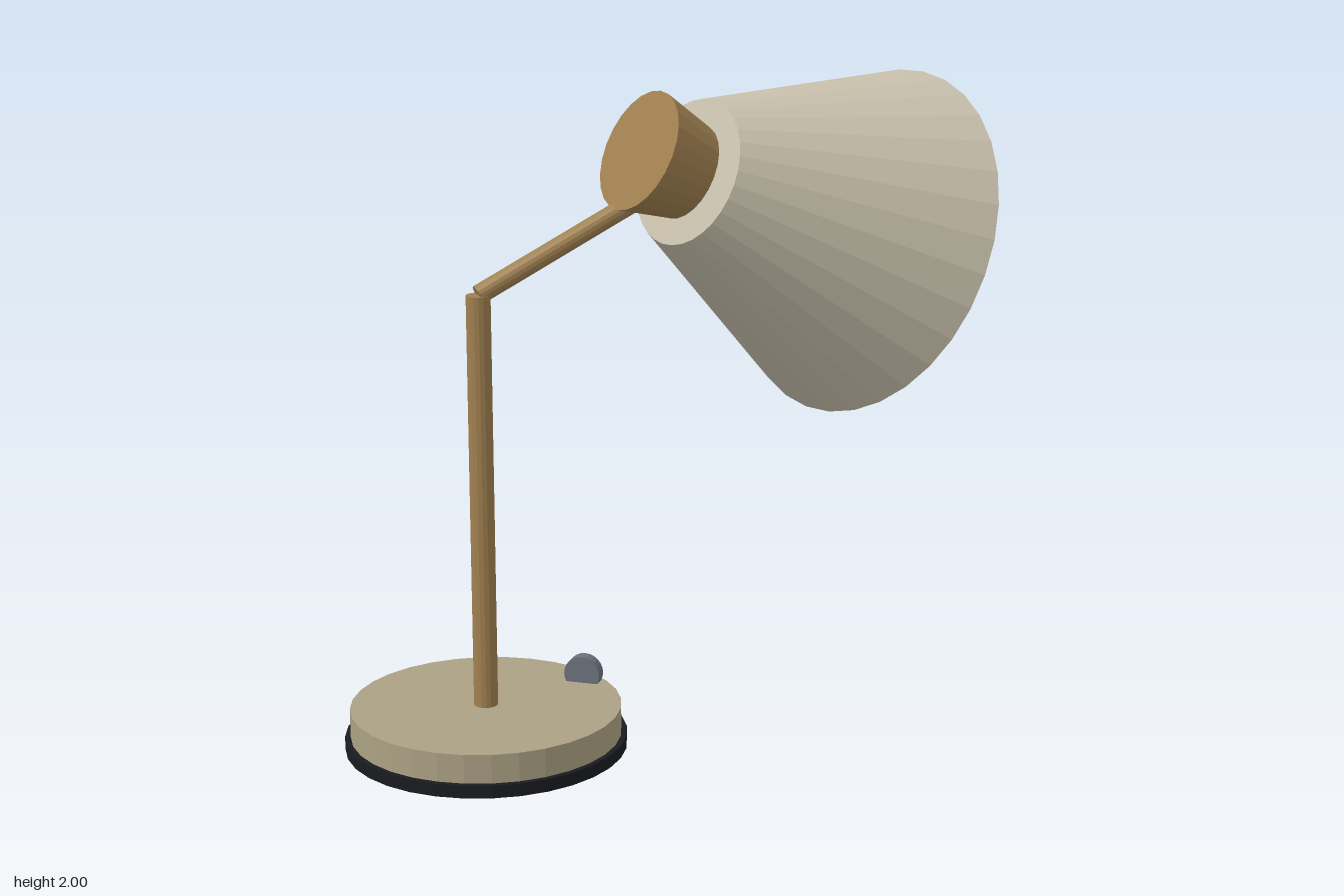
import * as THREE from 'three';

const mat = (color) => new THREE.MeshStandardMaterial({ color, flatShading: true });

export function createModel() {
  const group = new THREE.Group();
  const brass = mat(0xa08050);
  const linen = mat(0xc8c0ac);
  const stone = mat(0xaba184);
  const rubber = mat(0x1a1b20);
  const steel = mat(0x6a717c);

  // Closed cylinder or cone running from one point to another
  function rod(name, from, to, rFrom, rTo, sides, material) {
    const a = new THREE.Vector3(...from);
    const b = new THREE.Vector3(...to);
    const axis = b.clone().sub(a);
    const mesh = new THREE.Mesh(
      new THREE.CylinderGeometry(rTo, rFrom, axis.length(), sides), material);
    mesh.quaternion.setFromUnitVectors(new THREE.Vector3(0, 1, 0), axis.normalize());
    mesh.position.addVectors(a, b).multiplyScalar(0.5);
    mesh.name = name;
    group.add(mesh);
  }

  // Base with its foot pad and switch
  const x = -0.493, z = 0.472;
  rod('footPad', [x, 0, z], [x, 0.04, z], 0.435, 0.435, 32, rubber);
  rod('base', [x, 0.04, z], [x, 0.13, z], 0.418, 0.418, 32, stone);
  rod('switchKnob', [-0.268, 0.157, 0.175], [-0.268, 0.157, 0.215], 0.058, 0.058, 24, steel);

  // Upright pole and slanted arm
  rod('pole', [x, 0.13, z], [x, 1.42, z], 0.037, 0.037, 16, brass);
  rod('arm', [x, 1.42, z], [-0.05, 1.7, 0.125], 0.03, 0.03, 16, brass);

  // Flared socket cap and the closed conical shade share one axis
  const neck = [0.03, 1.745, 0.05];
  rod('socketCap', [-0.085, 1.825, 0.175], neck, 0.19, 0.15, 24, brass);
  rod('shade', neck, [0.452, 1.45, -0.53], 0.23, 0.568, 32, linen);

  return group;
}
